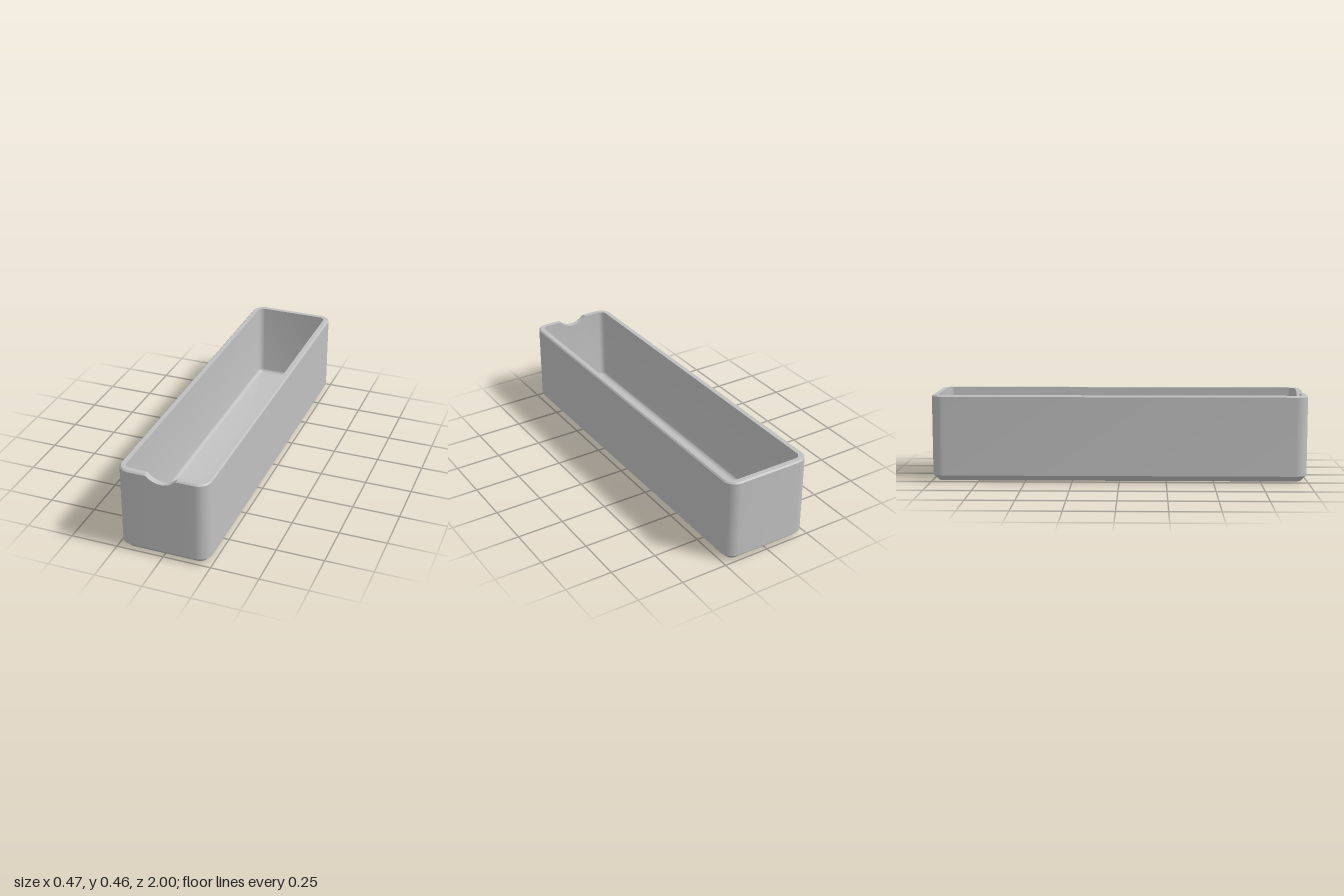
import * as THREE from 'three';
import { toCreasedNormals } from 'three/addons/utils/BufferGeometryUtils.js';

const HALF_W = 0.237, HALF_L = 1, HEIGHT = 0.459, CORNER = 0.066;
const WALL = 0.032, FLOOR = 0.03, LIP = 0.007, FOOT = 0.031, FILLET = 0.02;
const NOTCH_R = 0.102, NOTCH_Y = 0.521, CORNER_STEPS = 10;

// Half width of the round finger notch at a given height
const notchHalf = (y) => Math.sqrt(NOTCH_R ** 2 - (NOTCH_Y - y) ** 2);

// Sample positions across the front edge, including both notch corners
function frontSamples() {
  const edge = notchHalf(HEIGHT);
  const xs = [notchHalf(HEIGHT - LIP), -notchHalf(HEIGHT - LIP)];
  const maxA = Math.asin(edge / NOTCH_R);
  for (let i = 0; i <= 20; i++) xs.push(NOTCH_R * Math.sin(maxA * (i / 10 - 1)));
  return xs.sort((a, b) => a - b);
}

// Rounded rectangle at height y, drawn in from the outer wall by inset
function ring(inset, y, samples) {
  const r = Math.max(CORNER - inset, 0.012);
  const w = HALF_W - inset - r, l = HALF_L - inset - r;
  const points = samples.map((x) => {
    const drop = NOTCH_Y - Math.sqrt(Math.max(NOTCH_R ** 2 - x * x, 0));
    const inNotch = Math.abs(x) < notchHalf(HEIGHT) + 1e-6;
    return new THREE.Vector3(x, inNotch ? Math.min(y, drop) : y, l + r);
  });
  [[1, 1], [1, -1], [-1, -1], [-1, 1]].forEach(([sx, sz], c) => {
    for (let i = 0; i <= CORNER_STEPS; i++) {
      const a = (c + i / CORNER_STEPS) * Math.PI / 2;
      points.push(new THREE.Vector3(sx * w + r * Math.sin(a), y, sz * l + r * Math.cos(a)));
    }
  });
  return points;
}

// Skin neighbouring rings, leaving out collapsed triangles
function loft(rings) {
  const pos = [], tri = new THREE.Triangle();
  const add = (a, b, c) => {
    if (tri.set(a, b, c).getArea() < 1e-9) return;
    for (const p of [a, b, c]) pos.push(p.x, p.y, p.z);
  };
  for (let k = 0; k < rings.length - 1; k++) {
    const a = rings[k], b = rings[k + 1];
    for (let i = 0; i < a.length; i++) {
      const j = (i + 1) % a.length;
      add(a[i], a[j], b[j]);
      add(a[i], b[j], b[i]);
    }
  }
  const geometry = new THREE.BufferGeometry();
  geometry.setAttribute('position', new THREE.Float32BufferAttribute(pos, 3));
  return toCreasedNormals(geometry, 0.6);
}

export function createModel() {
  const grey = new THREE.MeshStandardMaterial({ color: 0xc0c0c0 });
  grey.name = 'grey plastic';

  // Wall section: foot bevel, outer wall, lip bevel, rim, inner wall, floor fillet
  const profile = [[FOOT, 0], [0, FOOT], [0, HEIGHT - LIP], [LIP, HEIGHT], [WALL, HEIGHT]];
  for (let i = 0; i <= 4; i++) {
    const a = (i / 4) * Math.PI / 2;
    profile.push([WALL + FILLET * (1 - Math.cos(a)), FLOOR + FILLET * (1 - Math.sin(a))]);
  }

  const samples = frontSamples();
  const rings = profile.map(([inset, y]) => ring(inset, y, samples));
  // Close the underside and the inner floor at their centres
  const centre = (y) => rings[0].map(() => new THREE.Vector3(0, y, 0));
  const tray = new THREE.Mesh(loft([centre(0), ...rings, centre(FLOOR)]), grey);
  tray.name = 'tray';

  const group = new THREE.Group();
  group.name = 'openTray';
  group.add(tray);
  return group;
}
